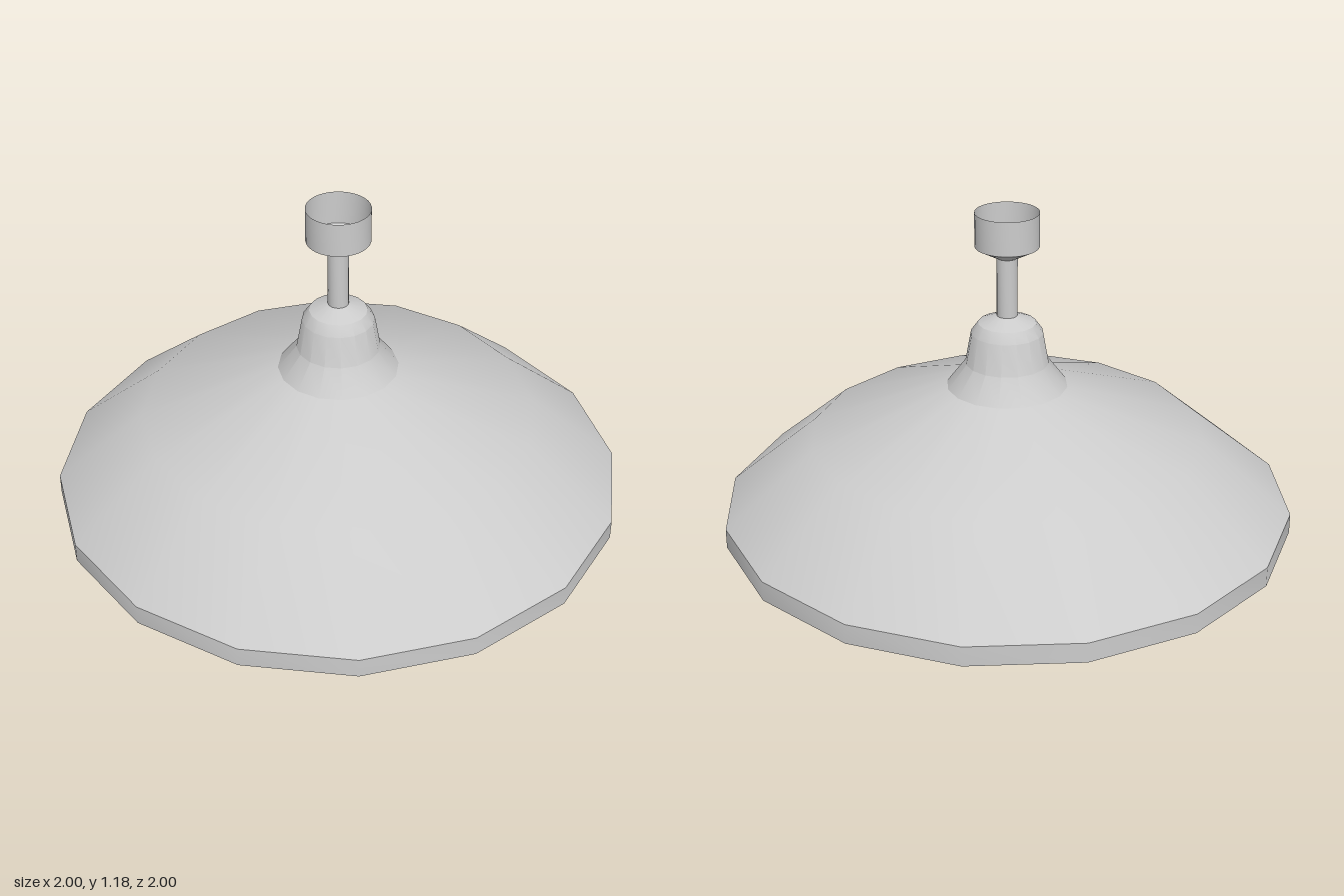
import * as THREE from 'three';
import { toCreasedNormals } from 'three/addons/utils/BufferGeometryUtils.js';

const grey = new THREE.MeshStandardMaterial({ color: 0xcccccc });
const greyDouble = new THREE.MeshStandardMaterial({ color: 0xcccccc, side: THREE.DoubleSide });

// Turned part from [radius, height] pairs, smooth except at sharp edges
function turned(name, profile, sides, material = grey) {
  const points = profile.map(([r, y]) => new THREE.Vector2(r, y));
  const geometry = toCreasedNormals(new THREE.LatheGeometry(points, sides), THREE.MathUtils.degToRad(30));
  const mesh = new THREE.Mesh(geometry, material);
  mesh.name = name;
  return mesh;
}

export function createModel() {
  const lamp = new THREE.Group();
  lamp.name = 'pendantLamp';

  // Shade: inner skin downwards, around the rim, then the outer skin upwards
  lamp.add(turned('shade', [
    [0.07, 0.57], [0.19, 0.53], [0.67, 0.35], [0.96, 0.1], [0.96, 0.045],
    [1, 0.045], [1, 0.115], [0.69, 0.375], [0.21, 0.555],
  ], 16));

  // Bell-shaped neck on top of the shade
  lamp.add(turned('neck', [
    [0.21, 0.555], [0.145, 0.64], [0.125, 0.75], [0.1, 0.785], [0.035, 0.812],
  ], 16, greyDouble));

  // Rod, closed at its upper end
  lamp.add(turned('stem', [[0.036, 0.79], [0.036, 1.02], [0, 1.02]], 16));

  // Ceiling cup, open at the top
  lamp.add(turned('ceilingCup', [[0.036, 1.02], [0.11, 1.06], [0.11, 1.18]], 32, greyDouble));

  // Bulb holder
  lamp.add(turned('socket', [[0, 0.42], [0.073, 0.42], [0.073, 0.6], [0, 0.6]], 16));

  // Slightly elongated bulb
  const bulb = new THREE.Mesh(new THREE.SphereGeometry(0.208, 16, 10), grey);
  bulb.name = 'bulb';
  bulb.scale.y = 1.13;
  bulb.position.y = 0.24;
  lamp.add(bulb);

  return lamp;
}
